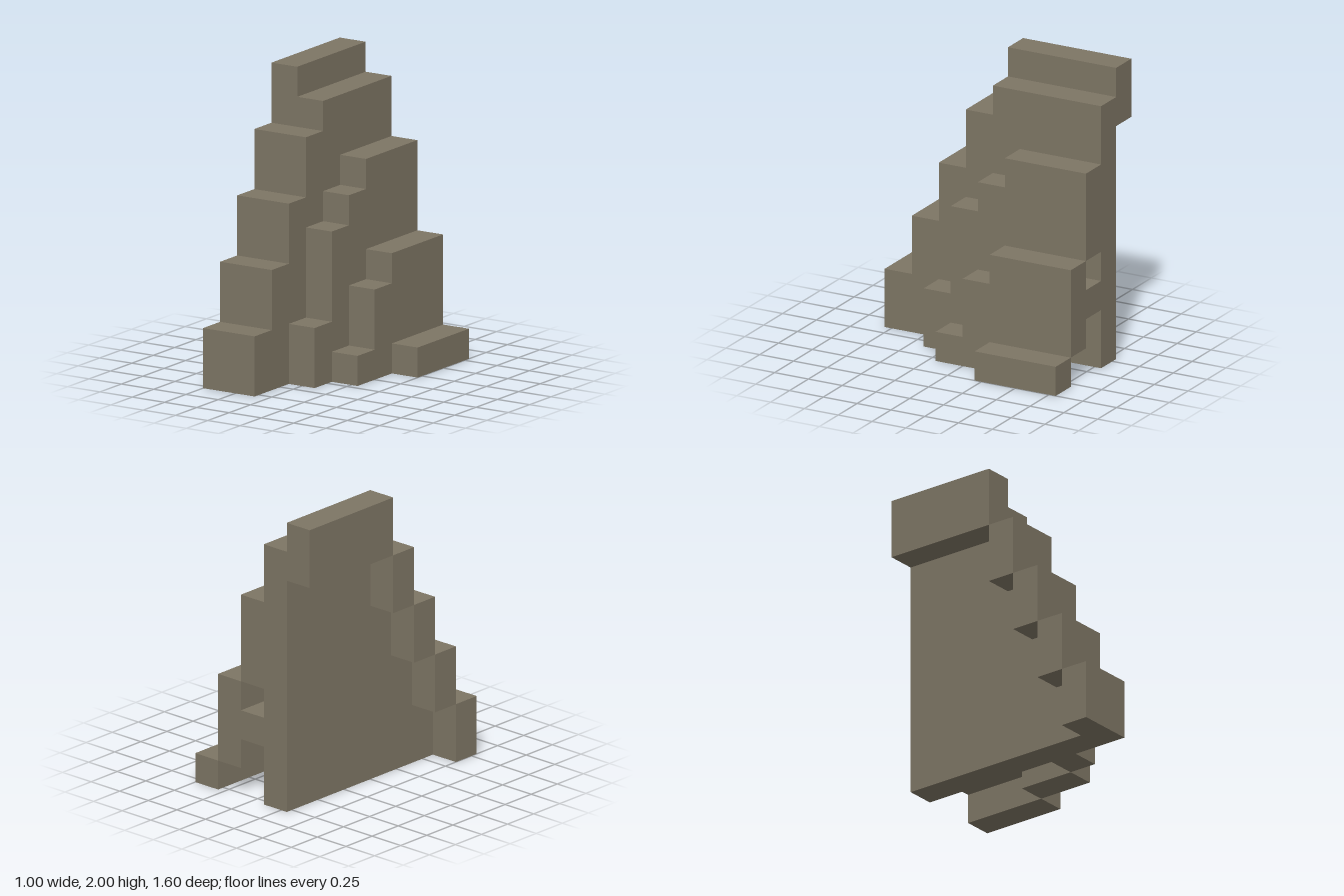
import * as THREE from 'three';

export function createModel() {
  const group = new THREE.Group();
  const stone = new THREE.MeshStandardMaterial({ color: 0x7d7564 });
  stone.name = 'stone';
  const W = 0.2; // thickness of each upright layer

  // Upright layer with a (z, y) outline, spanning x0 to x0 + W
  function layer(name, x0, points) {
    const shape = new THREE.Shape(points.map(([z, y]) => new THREE.Vector2(z, y)));
    const geo = new THREE.ExtrudeGeometry(shape, { depth: W, bevelEnabled: false });
    geo.rotateY(-Math.PI / 2).translate(x0 + W, 0, 0);
    const mesh = new THREE.Mesh(geo, stone);
    mesh.name = name;
    group.add(mesh);
  }

  // Ridge on the outer side: blocks that meet only along their edges
  const ridge = new THREE.Group();
  ridge.name = 'ridgeBlocks';
  [[-0.8, 0, 1.6], [0, 0.2, 1.2], [0.2, 0.4, 0.8], [0.4, 0.6, 0.4], [0.6, 0.8, 0]].forEach(([z0, z1, y0]) => {
    const block = new THREE.Mesh(new THREE.BoxGeometry(W, 0.4, z1 - z0), stone);
    block.position.set(-0.4, y0 + 0.2, (z0 + z1) / 2);
    block.name = 'ridgeBlock';
    ridge.add(block);
  });
  group.add(ridge);

  // Solid stepped wall
  layer('mainWall', -0.3, [
    [-0.8, 0], [0.8, 0], [0.8, 0.4], [0.6, 0.4], [0.6, 0.8], [0.4, 0.8], [0.4, 1.2],
    [0.2, 1.2], [0.2, 1.6], [0, 1.6], [0, 1.8], [-0.8, 1.8],
  ]);

  // Upper slope shell, with the inner brace below it
  layer('upperSlopeAndBrace', -0.1, [
    [-0.8, 1.4], [-0.8, 0.8], [-0.2, 0.8], [-0.2, 0.6], [-0.8, 0.6], [-0.8, 0.4],
    [0, 0.4], [0, 0.2], [0.2, 0.2], [0.2, 0], [0.4, 0], [0.4, 0.4], [0.2, 0.4],
    [0.2, 1], [0, 1], [0, 1.2], [-0.2, 1.2], [-0.2, 1.4],
  ]);

  // Lower slope shell
  layer('lowerSlope', 0.1, [
    [-0.8, 0.8], [-0.8, 0.2], [-0.2, 0.2], [-0.2, 0], [0.2, 0], [0.2, 0.2],
    [0, 0.2], [0, 0.6], [-0.2, 0.6], [-0.2, 0.8],
  ]);

  // Bottom step
  layer('bottomStep', 0.3, [[-0.8, 0], [-0.2, 0], [-0.2, 0.2], [-0.8, 0.2]]);

  return group;
}
